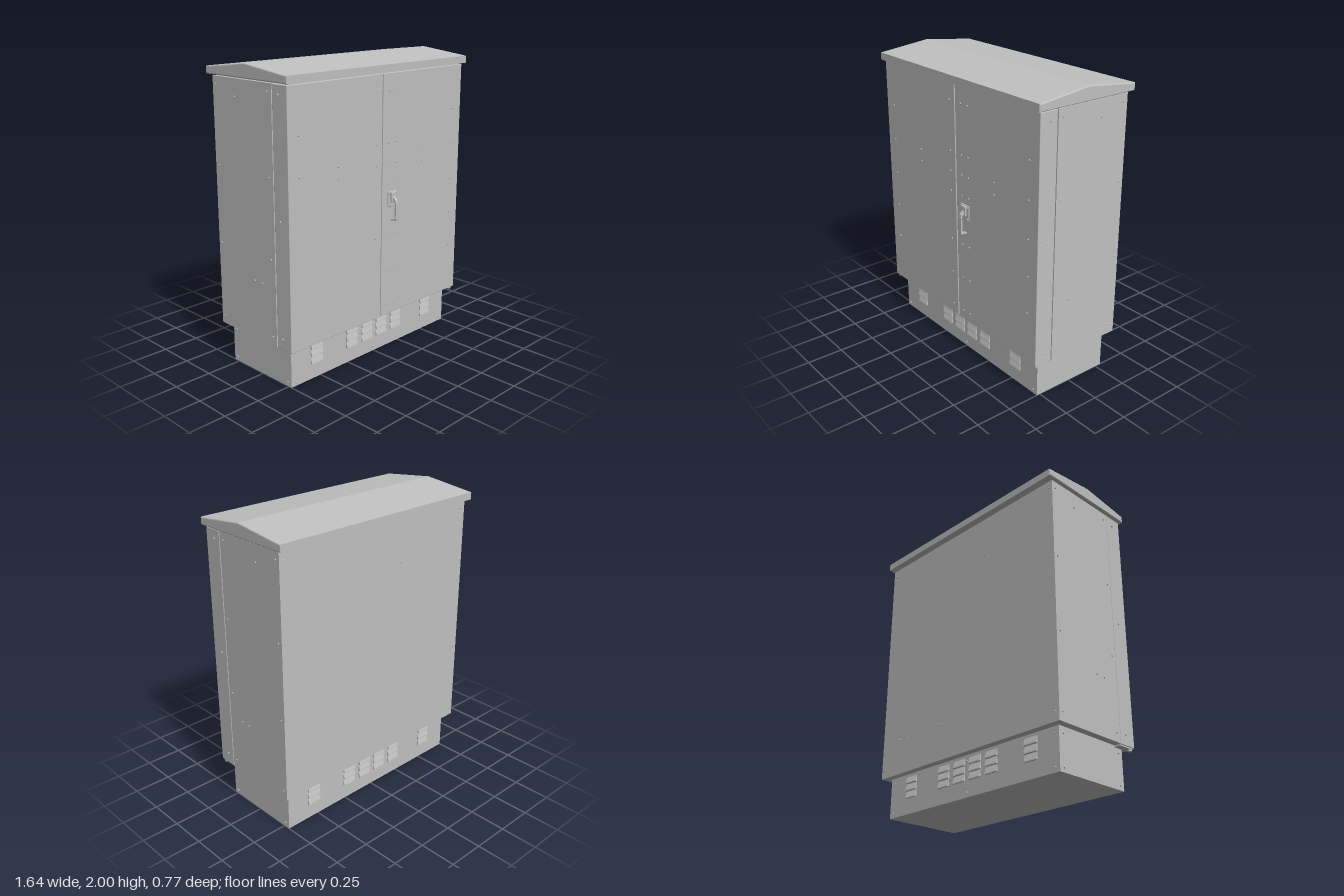
import * as THREE from 'three';
import { mergeGeometries } from 'three/addons/utils/BufferGeometryUtils.js';
import { RoundedBoxGeometry } from 'three/addons/geometries/RoundedBoxGeometry.js';

const grey = new THREE.MeshStandardMaterial({ color: 0xc0c0c0 });
grey.name = 'cabinet grey';

function add(parent, name, geometry, x = 0, y = 0, z = 0) {
  const mesh = new THREE.Mesh(geometry, grey);
  mesh.name = name;
  mesh.position.set(x, y, z);
  parent.add(mesh);
  return mesh;
}

// Box given by its limits on each axis
function block(parent, name, [x0, x1], [y0, y1], [z0, z1], radius = 0) {
  const s = [x1 - x0, y1 - y0, z1 - z0];
  const geo = radius ? new RoundedBoxGeometry(...s, 2, radius) : new THREE.BoxGeometry(...s);
  return add(parent, name, geo, (x0 + x1) / 2, (y0 + y1) / 2, (z0 + z1) / 2);
}

// Side profile of [z, y] points extruded across x, centred on x = 0
function sideProfile(points, width, bevel = 0) {
  const shape = new THREE.Shape(points.map(p => new THREE.Vector2(...p)));
  const depth = width - 2 * bevel;
  const geo = new THREE.ExtrudeGeometry(shape, {
    depth, bevelEnabled: bevel > 0, bevelSize: bevel, bevelThickness: bevel,
    bevelOffset: -bevel, bevelSegments: 3,
  });
  return geo.translate(0, 0, -depth / 2).rotateY(-Math.PI / 2);
}

// One mesh of rivet heads that face along a direction
function rivets(parent, name, direction, points, radius = 0.008) {
  const turn = new THREE.Quaternion().setFromUnitVectors(
    new THREE.Vector3(0, 1, 0), new THREE.Vector3(...direction));
  const heads = points.map(p => new THREE.CylinderGeometry(radius * 0.65, radius, 0.012, 10)
    .applyQuaternion(turn).translate(...p));
  add(parent, name, mergeGeometries(heads));
}

export function createModel() {
  const cabinet = new THREE.Group();
  cabinet.name = 'cabinet';

  // Plinth, main body and the thin neck below the roof
  block(cabinet, 'plinth', [-0.75, 0.75], [0, 0.275], [-0.295, 0.275]);
  block(cabinet, 'body', [-0.8, 0.8], [0.27, 1.9], [-0.345, 0.204]);
  block(cabinet, 'neck', [-0.77, 0.77], [1.895, 1.915], [-0.315, 0.32]);

  // Doors, split by a narrow seam
  for (const s of [-1, 1]) {
    const limits = [s * 0.003, s * 0.8].sort((a, b) => a - b);
    const name = s > 0 ? 'left' : 'right';
    block(cabinet, name + 'Door', limits, [0.268, 1.9], [0.209, 0.338], 0.004);
    // Hinge pins above and below the door
    add(cabinet, name + 'LowerHinge', new THREE.CylinderGeometry(0.014, 0.014, 0.022, 14), s * 0.782, 0.26, 0.312);
    add(cabinet, name + 'LowerHingePlate', new THREE.BoxGeometry(0.05, 0.01, 0.12), s * 0.77, 0.264, 0.265);
    add(cabinet, name + 'UpperHinge', new THREE.BoxGeometry(0.07, 0.012, 0.03), s * 0.75, 1.903, 0.318);
  }

  // Pitched roof with softened edges
  add(cabinet, 'roof', sideProfile(
    [[-0.385, 1.908], [0.362, 1.908], [0.362, 1.957], [-0.01, 2], [-0.385, 1.957]], 1.64, 0.008));

  // Louvred vents on both faces of the plinth
  for (const face of [1, -1]) {
    const slats = [];
    for (const x of [-0.535, -0.215, -0.07, 0.07, 0.215, 0.535])
      for (const y of [0.105, 0.155, 0.205])
        slats.push(sideProfile([[-0.004, 0], [0.013, 0], [0.012, 0.008], [0, 0.046], [-0.004, 0.046]], 0.1)
          .translate(x, y, 0));
    const vents = add(cabinet, face > 0 ? 'frontVents' : 'backVents', mergeGeometries(slats),
      0, 0, face > 0 ? 0.275 : -0.295);
    if (face < 0) vents.rotation.y = Math.PI;
  }

  // Door handle: plate, pivot housing and bent lever
  const handle = new THREE.Group();
  handle.name = 'handle';
  handle.position.set(0.097, 0, 0.338);
  cabinet.add(handle);
  block(handle, 'handlePlate', [-0.043, 0.043], [1.025, 1.13], [-0.002, 0.008], 0.004);
  block(handle, 'handlePivot', [-0.022, 0.022], [1.055, 1.125], [0, 0.02], 0.006);
  add(handle, 'lever', sideProfile([
    [0, 1.095], [0.02, 1.092], [0.042, 1.07], [0.046, 1.05], [0.046, 0.94], [0.042, 0.934], [0, 0.93],
    [0, 0.938], [0.034, 0.944], [0.036, 0.95], [0.036, 1.045], [0.032, 1.06], [0.016, 1.075], [0, 1.075],
  ], 0.022));
  rivets(handle, 'plateScrews', [0, 0, 1],
    [-1, 1].flatMap(s => [1.037, 1.118].map(y => [s * 0.033, y, 0.009])), 0.006);

  // Rivets on the doors
  const doorPoints = [];
  for (const y of [1.79, 1.455, 1.32, 1.18, 0.835, 0.59, 0.34])
    for (const x of [-0.055, 0.062, 0.133]) doorPoints.push([x, y, 0.338]);
  for (const s of [-1, 1]) {
    for (const y of [1.605, 1.36, 1.11, 0.865, 0.615]) doorPoints.push([s * 0.715, y, 0.338]);
    for (const y of [1.37, 1.29]) doorPoints.push([s * 0.393, y, 0.338]);
  }
  rivets(cabinet, 'doorRivets', [0, 0, 1], doorPoints);

  // Rivets on the back panel
  const rows = [1.85, 1.345, 0.835, 0.33];
  const backPoints = rows.flatMap(y => [-0.77, 0.77].map(x => [x, y, -0.345]));
  for (const x of [0.62, 0.2, -0.19, -0.6]) backPoints.push([x, 1.61, -0.345]);
  for (const x of [0.62, 0.545, 0.2, -0.6]) backPoints.push([x, 0.51, -0.345]);
  rivets(cabinet, 'backRivets', [0, 0, -1], backPoints);

  // Rivets on both sides, with larger ones at the door hinges
  for (const s of [-1, 1]) {
    const points = rows.flatMap(y => [0.17, -0.315].map(z => [s * 0.8, y, z]));
    for (const [y, z] of [[1.79, -0.135], [0.66, 0.08], [0.66, 0.01]]) points.push([s * 0.8, y, z]);
    rivets(cabinet, 'sideRivets', [s, 0, 0], points);
    rivets(cabinet, 'hingeRivets', [s, 0, 0], [1.84, 1.09, 0.34].map(y => [s * 0.8, y, 0.26]), 0.011);
    rivets(cabinet, 'plinthSideRivets', [s, 0, 0],
      [0.03, 0.23].flatMap(y => [0.242, -0.26].map(z => [s * 0.75, y, z])));
  }

  // Rivets on the front and back of the plinth
  for (const [f, z] of [[1, 0.275], [-1, -0.295]])
    rivets(cabinet, 'plinthRivets', [0, 0, f],
      [0.03, 0.23].flatMap(y => [-0.715, 0, 0.715].map(x => [x, y, z])));

  return cabinet;
}
